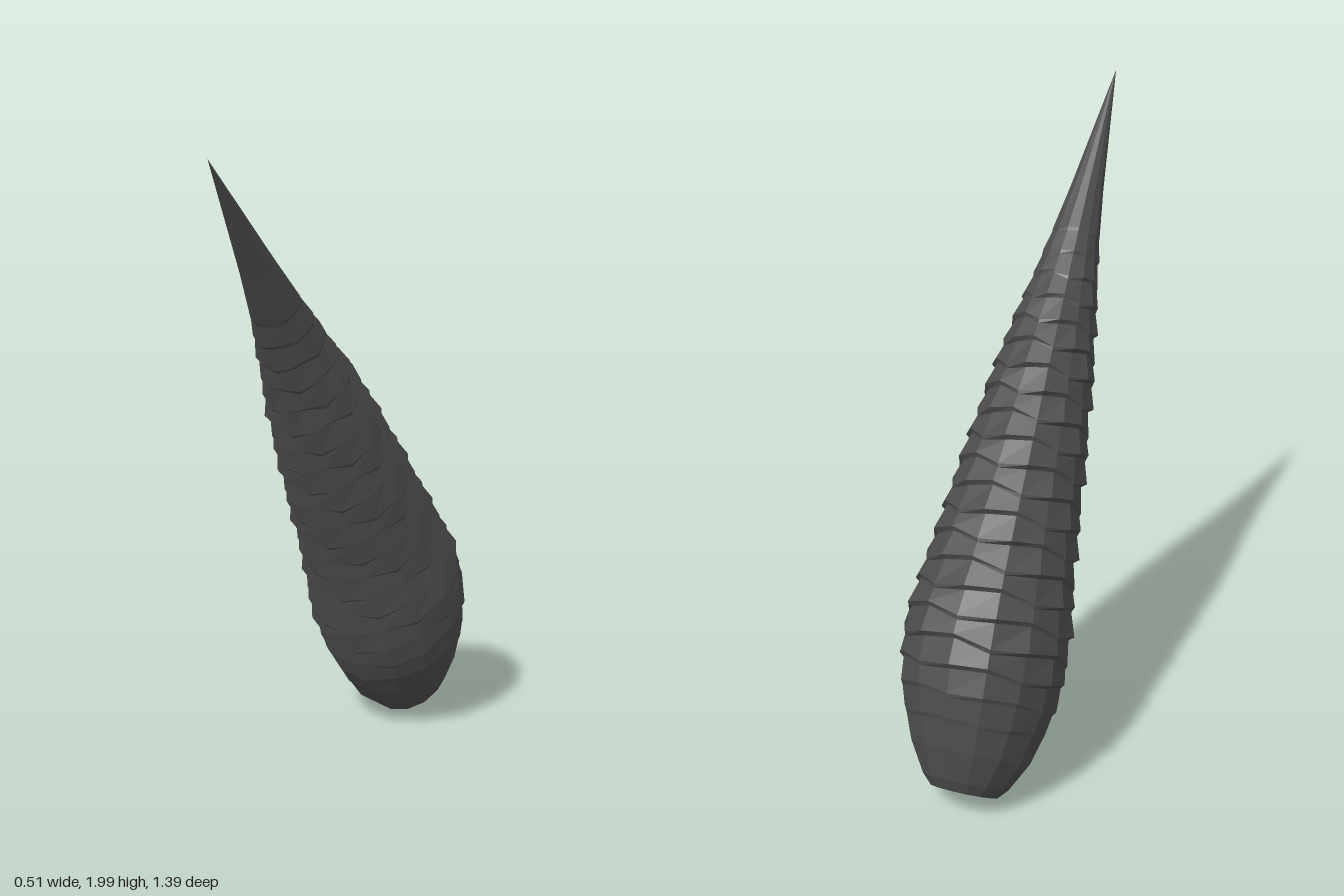
import * as THREE from 'three';

// Horn stations: distance along the lean, sideways sway, radius
const STATIONS = [
  [-0.262, -0.52, 0.113], [-0.23, -0.525, 0.145], [-0.14, -0.537, 0.2], [0, -0.565, 0.25],
  [0.12, -0.586, 0.269], [0.24, -0.6, 0.27], [0.38, -0.604, 0.25], [0.53, -0.603, 0.228],
  [0.78, -0.595, 0.199], [1.09, -0.585, 0.156], [1.3, -0.573, 0.116], [1.54, -0.561, 0.07],
  [2.055, -0.5155, 0],
];
const SIDES = 14;
const ALONG = new THREE.Vector3(0, 0.835, 0.55);
const FORWARD = new THREE.Vector3(0, -0.55, 0.835);

function station(t) {
  let k = 0;
  while (k < STATIONS.length - 2 && t > STATIONS[k + 1][0]) k++;
  const [a, b] = [STATIONS[k], STATIONS[k + 1]];
  const f = (t - a[0]) / (b[0] - a[0]);
  return { sway: a[1] + (b[1] - a[1]) * f, radius: a[2] + (b[2] - a[2]) * f };
}

function hornPoint(t, angle, swell) {
  const { sway, radius } = station(t);
  const r = Math.max(0, radius + (radius > 0.01 ? swell : 0));
  const p = new THREE.Vector3(0.93 * r * Math.cos(angle) + 0.007 * (t - 0.1), 0, 0);
  return p.addScaledVector(ALONG, t).addScaledVector(FORWARD, sway + r * Math.sin(angle));
}

// Rows of the horn: smooth root, overlapping ridges, smooth tip
function hornRows() {
  const rows = [{ t: -0.262 }, { t: -0.23 }, { t: -0.14 }];
  const count = 21;
  for (let k = 0; k < count; k++) {
    const t = -0.06 + k * 0.077;
    const fade = Math.min(1, (k + 1) / 4, (count - k) / 6);
    rows.push({ t, ridge: k, fade, lip: -0.005 });
    rows.push({ t: t + 0.012, ridge: k, fade, lip: 0.009 });
  }
  rows.push({ t: 1.65 }, { t: 1.85 }, { t: 2.055 });
  return rows;
}

function hornGeometry() {
  const points = [];
  const index = [];
  const rows = hornRows();
  for (const { t, ridge = 0, fade = 0, lip = 0 } of rows) {
    for (let i = 0; i < SIDES; i++) {
      const angle = ((i + 0.5) / SIDES) * Math.PI * 2;
      // Jagged ridge edges, staggered from one ridge to the next
      const jag = fade * 0.012 * (((i * 2 + ridge) % 3) - 1);
      const tooth = 0.35 + 0.5 * ((i + ridge * 2) % 3);
      const p = hornPoint(t + jag, angle, lip * fade * tooth);
      points.push(p.x, p.y, p.z);
    }
  }
  for (let j = 0; j < rows.length - 1; j++) {
    for (let i = 0; i < SIDES; i++) {
      const p = j * SIDES + i;
      const q = j * SIDES + ((i + 1) % SIDES);
      index.push(p, p + SIDES, q, q, p + SIDES, q + SIDES);
    }
  }
  // Flat root cap
  const centre = points.length / 3;
  const c = hornPoint(-0.262, 0, -1);
  points.push(c.x, c.y, c.z);
  for (let i = 0; i < SIDES; i++) index.push(centre, i, (i + 1) % SIDES);

  const geometry = new THREE.BufferGeometry();
  geometry.setAttribute('position', new THREE.Float32BufferAttribute(points, 3));
  geometry.setIndex(index);
  const flat = geometry.toNonIndexed();
  flat.computeVertexNormals();
  return flat;
}

export function createModel() {
  const group = new THREE.Group();
  group.name = 'ridgedHorn';
  const material = new THREE.MeshStandardMaterial({ color: 0x4c4c4c, flatShading: true });
  material.name = 'darkGrey';
  const horn = new THREE.Mesh(hornGeometry(), material);
  horn.name = 'horn';
  group.add(horn);
  return group;
}
